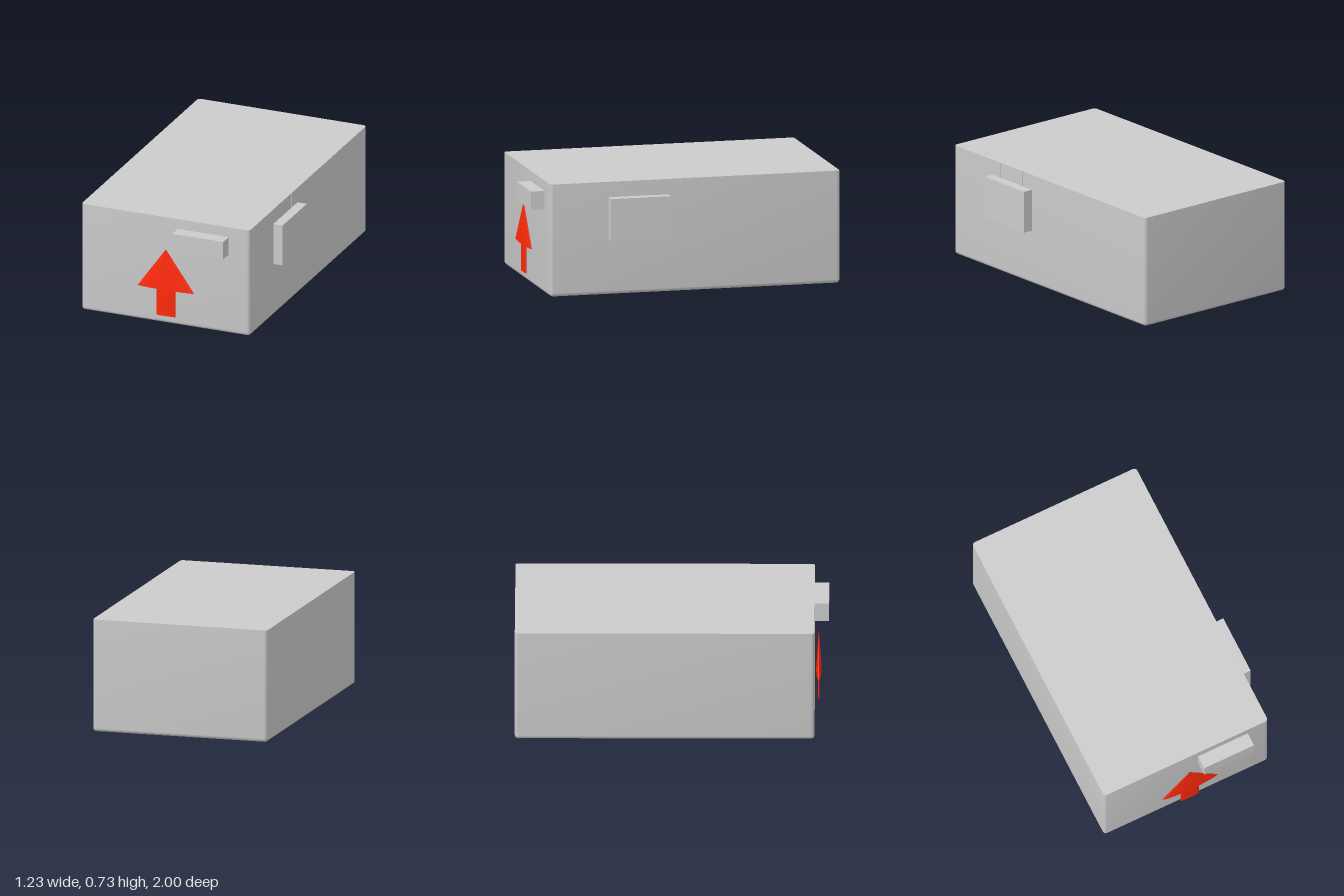
import * as THREE from 'three';
import { toCreasedNormals } from 'three/addons/utils/BufferGeometryUtils.js';
import { RoundedBoxGeometry } from 'three/addons/geometries/RoundedBoxGeometry.js';

const grey = new THREE.MeshStandardMaterial({ color: 0xcccccc });
const red = new THREE.MeshStandardMaterial({ color: 0xff2a0a });

export function createModel() {
  const model = new THREE.Group();

  const add = (name, geometry, material = grey, parent = model) => {
    const mesh = new THREE.Mesh(geometry, material);
    mesh.name = name;
    parent.add(mesh);
    return mesh;
  };
  // Box given by its lower and upper limits on each axis
  const block = (name, [x0, x1], [y0, y1], [z0, z1]) =>
    add(name, new THREE.BoxGeometry(x1 - x0, y1 - y0, z1 - z0))
      .position.set((x0 + x1) / 2, (y0 + y1) / 2, (z0 + z1) / 2);

  // Body: soft bottom and upright edges, cut off flat at the top
  const height = 0.73, r = 0.022;
  const bodyGeometry = new RoundedBoxGeometry(1.165, height + r, 1.91, 4, r);
  bodyGeometry.translate(-0.0325, (height + r) / 2, -0.045);
  const p = bodyGeometry.attributes.position;
  for (let i = 0; i < p.count; i++) p.setY(i, Math.min(p.getY(i), height));
  add('body', toCreasedNormals(bodyGeometry, 0.6));

  // Raised blocks on the front and left side
  block('frontBlock', [0.052, 0.405], [0.543, 0.663], [0.89, 1]);
  block('sideBlock', [0.53, 0.615], [0.355, 0.63], [0.13, 0.525]);

  // Thin fittings that lie nearly flush with the body
  block('frontBlockTab', [0.325, 0.385], [0.533, 0.545], [0.9, 0.911]);
  block('frontBlockEdge', [0.03, 0.036], [0.535, 0.655], [0.9, 0.911]);
  for (const z of [0.23, 0.445]) block('innerStrip', [0.51, 0.551], [0.6, 0.731], [z - 0.003, z + 0.003]);
  for (const z of [0.01, 0.65]) block('outerStrip', [0.475, 0.515], [0.6, 0.731], [z - 0.003, z + 0.003]);

  // Arrow: flattened cone on a flattened cylinder
  const arrow = new THREE.Group();
  arrow.name = 'arrow';
  arrow.position.set(-0.019, 0, 0.936);
  const head = add('arrowHead', new THREE.ConeGeometry(0.195, 0.275, 48), red, arrow);
  head.position.y = 0.3825;
  head.scale.z = 0.09;
  const shaft = add('arrowShaft', new THREE.CylinderGeometry(0.065, 0.065, 0.185, 48), red, arrow);
  shaft.position.y = 0.1545;
  shaft.scale.z = 0.08;
  model.add(arrow);

  return model;
}
